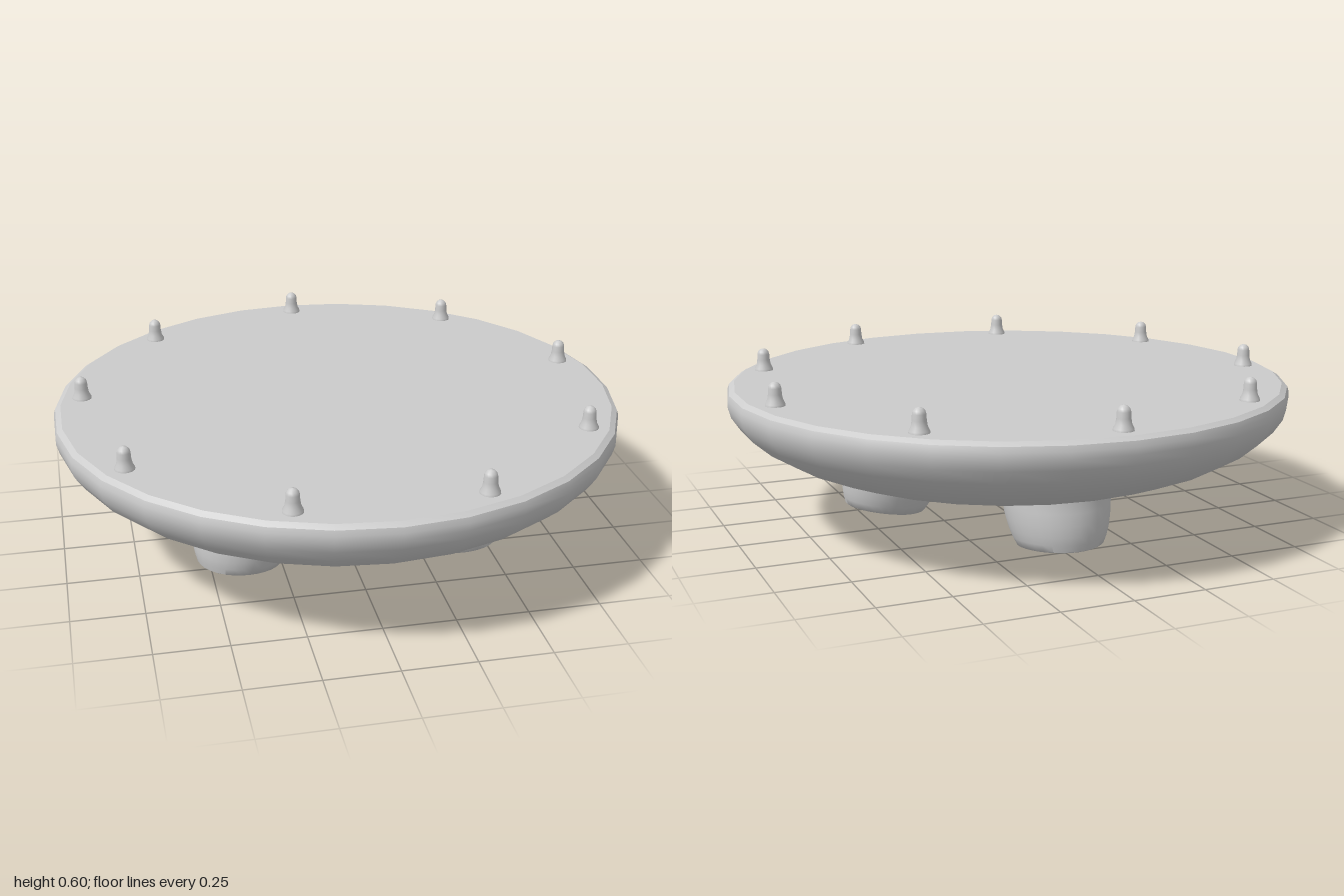
import * as THREE from 'three';
import { toCreasedNormals } from 'three/addons/utils/BufferGeometryUtils.js';

const material = new THREE.MeshStandardMaterial({ color: 0xcccccc });
const thinMaterial = new THREE.MeshStandardMaterial({ color: 0xcccccc, side: THREE.DoubleSide });

function lathe(points, sides) {
  return new THREE.LatheGeometry(points.map(([r, y]) => new THREE.Vector2(r, y)), sides);
}

function named(geometry, name, mat = material) {
  const mesh = new THREE.Mesh(geometry, mat);
  mesh.name = name;
  return mesh;
}

// Thruster housing: a bowl leaning outward (+x) with a slanted, curved lip
function housingGeometry() {
  const geo = lathe([
    [0, 0.09], [0.134, 0.09], [0.134, 0.05], [0.138, 0.03], [0.143, 0.026], [0.148, 0.029],
    [0.16, 0.055], [0.17, 0.085], [0.179, 0.125], [0.185, 0.17], [0.188, 0.21], [0.188, 0.25],
  ], 32);
  const p = geo.attributes.position;
  for (let i = 0; i < p.count; i++) {
    const x = p.getX(i), y = p.getY(i);
    const w = Math.max(0, 1 - y / 0.21);
    const u = x / 0.147;
    p.setX(i, x + 0.417 + 0.05 * w);
    p.setY(i, y + (0.003 + 0.017 * u - 0.009 * u * u) * Math.min(1, w * 1.15));
  }
  return toCreasedNormals(geo, 0.7);
}

// Fan blade: thin strip, narrow at the root, twisted along its length
function bladeGeometry() {
  const geo = new THREE.PlaneGeometry(0.116, 0.03, 5, 1);
  geo.rotateX(Math.PI / 2);
  geo.translate(0.074, 0, 0);
  const p = geo.attributes.position;
  for (let i = 0; i < p.count; i++) {
    const t = (p.getX(i) - 0.016) / 0.116;
    const z = p.getZ(i) * (0.45 + 0.55 * t);
    const pitch = 0.9 - 0.4 * t;
    p.setY(i, z * Math.sin(pitch));
    p.setZ(i, z * Math.cos(pitch) + 0.02 * t * t);
  }
  geo.computeVertexNormals();
  return geo;
}

function createThruster(housing, blade, hub) {
  const thruster = new THREE.Group();
  thruster.name = 'thruster';
  thruster.add(named(housing, 'thrusterHousing'));

  const fan = new THREE.Group();
  fan.name = 'fan';
  fan.position.set(0.459, 0.052, 0);
  fan.rotation.z = 0.14;
  fan.add(named(hub, 'fanHub'));
  const count = 14;
  for (let i = 0; i < count; i++) {
    const mesh = named(blade, 'fanBlade', thinMaterial);
    mesh.rotation.y = (i / count) * Math.PI * 2;
    fan.add(mesh);
  }
  thruster.add(fan);
  return thruster;
}

export function createModel() {
  const model = new THREE.Group();
  model.name = 'hoverPlatform';

  // Shallow dish hull with a rounded rim and flat deck
  const hull = lathe([
    [0, 0.16], [0.2, 0.166], [0.4, 0.182], [0.55, 0.206], [0.71, 0.243], [0.82, 0.286],
    [0.9, 0.333], [0.96, 0.385], [0.99, 0.43], [1, 0.465], [1, 0.49], [0.994, 0.508],
    [0.975, 0.52], [0, 0.52],
  ], 30);
  model.add(named(toCreasedNormals(hull, 0.5), 'hull'));

  // Nine studs around the deck edge
  const stud = lathe([
    [0.034, 0], [0.033, 0.008], [0.026, 0.022], [0.023, 0.04], [0.022, 0.06],
    [0.019, 0.07], [0.011, 0.078], [0, 0.081],
  ], 16);
  for (let i = 0; i < 9; i++) {
    const a = (i / 9) * Math.PI * 2;
    const mesh = named(stud, 'deckStud');
    mesh.position.set(0.905 * Math.sin(a), 0.519, -0.905 * Math.cos(a));
    model.add(mesh);
  }

  // Three thrusters under the hull, one at the back and two at the front sides
  const housing = housingGeometry();
  const blade = bladeGeometry();
  const hub = lathe([
    [0, -0.038], [0.008, -0.032], [0.016, -0.018], [0.022, 0], [0.024, 0.04],
  ], 16);
  for (let i = 0; i < 3; i++) {
    const thruster = createThruster(housing, blade, hub);
    thruster.rotation.y = Math.PI / 2 + (i * Math.PI * 2) / 3;
    model.add(thruster);
  }
  return model;
}
